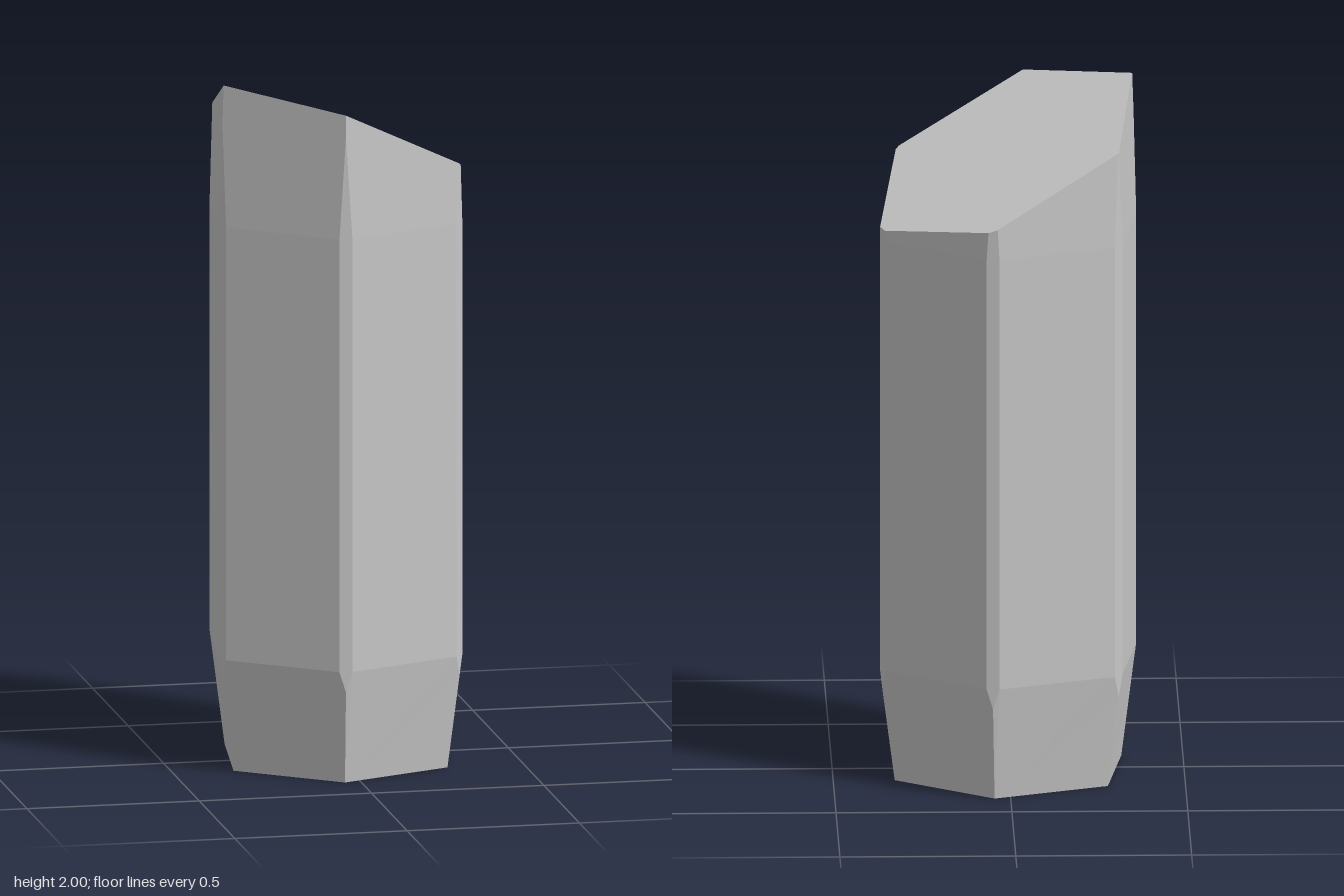
import * as THREE from 'three';

const CORNERS = 6;
const START = THREE.MathUtils.degToRad(37.5);
const FOOT_R = 0.352, SHAFT_R = 0.39, BEVEL = 0.0185;
const NOTCH_Y = 0.27, LOW_Y = 0.33, HIGH_Y = 1.59, POINT_Y = 1.885;

// Slanted cut across the top of the column
const cutHeight = (x, z) => 1.8125 - 0.399 * x + 0.305 * z;

// Point at a corner: radius r, height y, shifted sideways by t
function cornerPoint(i, r, y, t = 0) {
  const a = START + (i * Math.PI * 2) / CORNERS;
  return new THREE.Vector3(
    Math.cos(a) * r - Math.sin(a) * t, y, Math.sin(a) * r + Math.cos(a) * t);
}

const foot = (i) => cornerPoint(i, FOOT_R, 0);
const notch = (i) => cornerPoint(i, SHAFT_R, NOTCH_Y);
const low = (i, side) => cornerPoint(i, SHAFT_R, LOW_Y, side * BEVEL);
const high = (i, side) => cornerPoint(i, SHAFT_R, HIGH_Y, side * BEVEL);

// Radius where the leaning head sides would meet at the cut, before bevelling
function sharpRadius(i) {
  const p = cornerPoint(i, SHAFT_R, 0);
  const lean = 0.0107 / (POINT_Y - HIGH_Y);
  return SHAFT_R + lean * (POINT_Y - cutHeight(p.x, p.z));
}

// Rim of the cut: low corners stay bevelled, tall corners are sharp
function rim(i, side) {
  const r = sharpRadius(i);
  const width = Math.max(0, r - SHAFT_R) * Math.sqrt(3);
  const p = cornerPoint(i, Math.min(r, SHAFT_R), 0, side * width);
  p.y = cutHeight(p.x, p.z);
  return p;
}
const bevelEnd = (i, side) =>
  sharpRadius(i) > SHAFT_R ? rim(i, side) : cornerPoint(i, SHAFT_R, POINT_Y);

// Flat-shaded mesh from convex polygons with counter-clockwise corners
function facetMesh(name, polygons, material) {
  const points = [];
  for (const corners of polygons) {
    const poly = corners.filter((p, k) => k === 0 || !p.equals(corners[k - 1]));
    for (let k = 1; k < poly.length - 1; k++) points.push(poly[0], poly[k], poly[k + 1]);
  }
  const geometry = new THREE.BufferGeometry().setFromPoints(points);
  geometry.computeVertexNormals();
  const mesh = new THREE.Mesh(geometry, material);
  mesh.name = name;
  return mesh;
}

export function createModel() {
  const stone = new THREE.MeshStandardMaterial({ color: 0xc7c7c7 });
  stone.name = 'light grey stone';

  const footFaces = [], shaftFaces = [], headFaces = [], bevelFaces = [];
  const top = [], underside = [];
  for (let i = 0; i < CORNERS; i++) {
    const j = (i + 1) % CORNERS;
    // Tapered foot, upright shaft and slightly leaning head of each side
    footFaces.push([foot(j), foot(i), notch(i), low(i, 1), low(j, -1), notch(j)]);
    shaftFaces.push([low(j, -1), low(i, 1), high(i, 1), high(j, -1)]);
    headFaces.push([
      high(j, -1), high(i, 1), bevelEnd(i, 1), rim(i, 1), rim(j, -1), bevelEnd(j, -1)]);
    // Narrow bevel along each corner
    bevelFaces.push([
      notch(i), low(i, -1), high(i, -1), bevelEnd(i, -1), bevelEnd(i, 1), high(i, 1), low(i, 1)]);
    top.unshift(rim(i, 1), rim(i, -1));
    underside.push(foot(i));
  }

  const group = new THREE.Group();
  group.name = 'stoneColumn';
  group.add(
    facetMesh('foot', footFaces, stone),
    facetMesh('shaft', shaftFaces, stone),
    facetMesh('head', headFaces, stone),
    facetMesh('cornerBevels', bevelFaces, stone),
    facetMesh('slantedTop', [top], stone),
    facetMesh('underside', [underside], stone)
  );
  return group;
}
